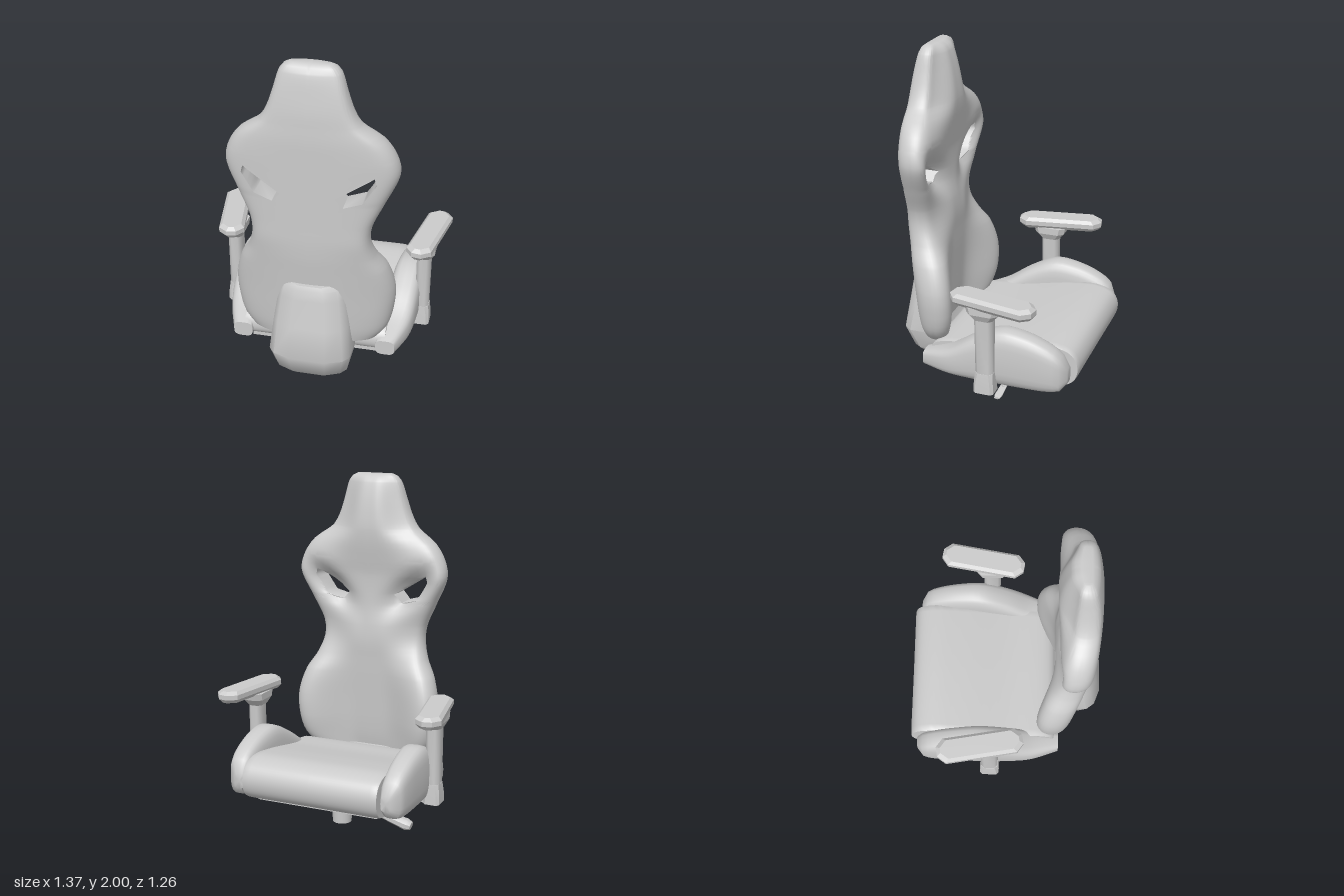
import * as THREE from 'three';
import { toCreasedNormals } from 'three/addons/utils/BufferGeometryUtils.js';

const material = new THREE.MeshStandardMaterial({ color: 0xcccccc });
const lerp = THREE.MathUtils.lerp;

function soup(positions, crease) {
  const g = new THREE.BufferGeometry();
  g.setAttribute('position', new THREE.Float32BufferAttribute(positions, 3));
  return toCreasedNormals(g, crease);
}

// Skin a list of closed rings and cap both ends; faces are turned outward by signed volume
function loft(rings, crease = 0.7) {
  const tris = [], n = rings[0].length;
  for (let j = 0; j < rings.length - 1; j++) for (let i = 0; i < n; i++) {
    const k = (i + 1) % n, a = rings[j], b = rings[j + 1];
    tris.push([a[i], a[k], b[k]], [a[i], b[k], b[i]]);
  }
  const cap = (ring, flip) => {
    const c = [0, 1, 2].map(d => ring.reduce((s, p) => s + p[d], 0) / n);
    ring.forEach((p, i) => {
      const q = ring[(i + 1) % n];
      tris.push(flip ? [c, q, p] : [c, p, q]);
    });
  };
  cap(rings[0], true);
  cap(rings[rings.length - 1], false);
  const v = tris.reduce((s, [a, b, c]) => s + a[0] * (b[1] * c[2] - b[2] * c[1])
    + a[1] * (b[2] * c[0] - b[0] * c[2]) + a[2] * (b[0] * c[1] - b[1] * c[0]), 0);
  return soup(tris.flatMap(t => (v < 0 ? [t[0], t[2], t[1]] : t).flat()), crease);
}

function add(parent, name, geometry, x = 0, y = 0, z = 0) {
  const m = new THREE.Mesh(geometry, material);
  m.name = name;
  m.position.set(x, y, z);
  parent.add(m);
  return m;
}

// Smooth interpolation through rows keyed by their first value
function sample(rows, y, smooth = true) {
  let i = 0;
  while (i < rows.length - 2 && y > rows[i + 1][0]) i++;
  const a = rows[i], b = rows[i + 1], p = rows[Math.max(i - 1, 0)], q = rows[Math.min(i + 2, rows.length - 1)];
  const d = b[0] - a[0], t = THREE.MathUtils.clamp((y - a[0]) / d, 0, 1);
  return a.map((v, c) => {
    if (!smooth) return lerp(v, b[c], t);
    const m0 = (b[c] - p[c]) / (b[0] - p[0]) * d, m1 = (q[c] - v) / (q[0] - a[0]) * d;
    const t2 = t * t, t3 = t2 * t;
    return (2 * t3 - 3 * t2 + 1) * v + (t3 - 2 * t2 + t) * m0 + (3 * t2 - 2 * t3) * b[c] + (t3 - t2) * m1;
  });
}

// Backrest rows: y, half width, back centre z, back edge z, front centre z, front edge z
const BACK = [
  [0.34, 0.36, 0.53, 0.45, 0.42, 0.33], [0.40, 0.41, 0.54, 0.45, 0.41, 0.30],
  [0.50, 0.44, 0.55, 0.455, 0.40, 0.275], [0.65, 0.45, 0.565, 0.465, 0.39, 0.275],
  [0.80, 0.412, 0.58, 0.50, 0.38, 0.31], [0.90, 0.355, 0.59, 0.535, 0.375, 0.365],
  [1.00, 0.325, 0.595, 0.56, 0.37, 0.41], [1.10, 0.332, 0.595, 0.56, 0.375, 0.42],
  [1.24, 0.395, 0.595, 0.55, 0.39, 0.395], [1.40, 0.465, 0.595, 0.54, 0.39, 0.355],
  [1.50, 0.45, 0.595, 0.545, 0.375, 0.365], [1.60, 0.385, 0.595, 0.55, 0.36, 0.395],
  [1.68, 0.275, 0.59, 0.56, 0.355, 0.425], [1.75, 0.23, 0.585, 0.56, 0.36, 0.43],
  [1.85, 0.195, 0.57, 0.55, 0.375, 0.435], [1.95, 0.165, 0.55, 0.53, 0.40, 0.44],
  [1.985, 0.14, 0.53, 0.52, 0.42, 0.445], [2.00, 0.11, 0.505, 0.505, 0.45, 0.46]];
// Opening: y, inner x, outer x
const HOLE = [[1.24, 0.19, 0.19], [1.27, 0.163, 0.29], [1.29, 0.145, 0.303], [1.38, 0.287, 0.36], [1.42, 0.35, 0.35]];

function backrestGeometry() {
  const out = [];
  const ys = [...BACK.map(r => r[0]), ...HOLE.map(r => r[0])];
  for (let y = 0.37; y < 1.97; y += 0.03) if (ys.every(v => Math.abs(v - y) > 0.01)) ys.push(y);
  const levels = [...new Set(ys)].sort((a, b) => a - b);
  const rows = levels.map(y => {
    const [, h, bc, be, fc, fe] = sample(BACK, y);
    let xi, xo;
    if (y >= 1.24 && y <= 1.42) [, xi, xo] = sample(HOLE, y, false);
    else xi = xo = h * (y < 1.24 ? 0.475 : 0.752);
    const point = x => {
      const t = Math.min(x / h, 1), w = THREE.MathUtils.smoothstep(t, 0.2, 0.9);
      // the front sinks in around the opening, following its slant
      const slant = 1.33 + (x - 0.26) * 0.6;
      const dip = 0.095 * Math.exp(-(((x - 0.26) / 0.13) ** 2) - ((y - slant) / 0.09) ** 2);
      const f = lerp(fc, fe, w) + dip, b = lerp(bc, be, t * t);
      const k = Math.sqrt(Math.max(0, 1 - t ** 13));
      const mid = (f + b) / 2, half = (b - f) / 2 * k;
      return { f: [x, y, mid - half], b: [x, y, mid + half] };
    };
    const inner = [], outer = [];
    for (let k = 0; k <= 8; k++) inner.push(point(xi * k / 8));
    for (let k = 0; k <= 12; k++) outer.push(point(lerp(xo, h, Math.sin(k / 12 * Math.PI / 2))));
    return { inner, outer, open: xo - xi > 1e-6 };
  });
  const tri = (a, b, c) => {
    const same = (p, q) => Math.hypot(p[0] - q[0], p[1] - q[1], p[2] - q[2]) < 1e-6;
    if (same(a, b) || same(b, c) || same(a, c)) return;
    out.push(...a, ...b, ...c);
    for (const p of [a, c, b]) out.push(-p[0], p[1], p[2]);
  };
  const quad = (a, b, c, d) => { tri(a, b, c); tri(a, c, d); };
  rows.forEach((lo, j) => {
    const up = rows[j + 1];
    for (const band of ['inner', 'outer']) for (let i = 0; i < lo[band].length - 1; i++) {
      const a = lo[band][i], b = lo[band][i + 1];
      if (up) {
        const c = up[band][i + 1], d = up[band][i];
        quad(a.b, b.b, c.b, d.b);
        quad(a.f, d.f, c.f, b.f);
      } else quad(a.f, a.b, b.b, b.f);
      if (j === 0) quad(a.f, b.f, b.b, a.b);
    }
    // walls of the opening
    if (up && (lo.open || up.open)) {
      const a = lo.inner[8], d = up.inner[8], b = lo.outer[0], c = up.outer[0];
      quad(a.b, a.f, d.f, d.b);
      quad(b.b, c.b, c.f, b.f);
    }
  });
  return soup(out, 0.85);
}

// Chamfered rectangle ring at height y
const padRing = (y, w, l, c) => [[w, l - c], [w - c, l], [c - w, l], [-w, l - c], [-w, c - l], [c - w, -l], [w - c, -l], [w, c - l]]
  .map(([x, z]) => [x, y, z]);

export function createModel() {
  const model = new THREE.Group();
  model.name = 'chair';
  model.rotation.y = 0.38;
  const chair = new THREE.Group();
  chair.name = 'chairBody';
  chair.position.set(0.063, 0, -0.015);
  model.add(chair);

  add(chair, 'backrest', backrestGeometry(), 0.008, 0, 0);

  // Rear cover over the hinge: y, half width, front z, back z
  const cover = [[0.12, 0.12, 0.28, 0.52], [0.14, 0.175, 0.30, 0.585], [0.18, 0.205, 0.35, 0.63], [0.30, 0.228, 0.42, 0.68],
    [0.48, 0.21, 0.44, 0.645], [0.65, 0.187, 0.46, 0.615], [0.71, 0.17, 0.48, 0.605], [0.735, 0.14, 0.49, 0.595]];
  add(chair, 'rearCover', loft(cover.map(([y, h, f, b]) => [[-h, f], [-h, b - 0.08], [-h * 0.85, b - 0.035],
    [-h * 0.45, b], [h * 0.45, b], [h * 0.85, b - 0.035], [h, b - 0.08], [h, f]].map(([x, z]) => [x, y, z])), 0.75), 0.02, 0, 0);

  // Seat cushion: side profile swept across the width with softened ends
  const side = new THREE.CatmullRomCurve3([[0.38, 0.23], [0.40, 0.30], [0.36, 0.355], [0.1, 0.395], [-0.2, 0.45],
    [-0.36, 0.46], [-0.45, 0.425], [-0.485, 0.35], [-0.465, 0.265], [-0.40, 0.22], [0, 0.215]]
    .map(([z, y]) => new THREE.Vector3(0, y, z)), true).getPoints(60).slice(0, -1);
  add(chair, 'seatCushion', loft([[-0.41, 0.95], [-0.4, 0.985], [-0.37, 1], [0, 0.99], [0.37, 1], [0.4, 0.985], [0.41, 0.95]]
    .map(([x, s]) => side.map(p => [x, 0.3 + (p.y - 0.3) * s, p.z * lerp(1, s, 0.15)]))));

  // Side bolster: z, bottom y, top y, inner x, outer x
  const bolster = [[-0.445, 0.28, 0.37, 0.42, 0.48], [-0.42, 0.24, 0.43, 0.41, 0.52], [-0.34, 0.22, 0.49, 0.40, 0.54],
    [-0.2, 0.215, 0.54, 0.39, 0.55], [-0.06, 0.215, 0.55, 0.38, 0.555], [0.1, 0.215, 0.475, 0.37, 0.55],
    [0.25, 0.215, 0.375, 0.36, 0.53], [0.42, 0.22, 0.31, 0.36, 0.47]];
  const levels = Array.from({ length: 25 }, (_, i) => sample(bolster, lerp(-0.445, 0.42, i / 24)));
  const pow = v => Math.sign(v) * Math.abs(v) ** 0.6;

  for (const s of [1, -1]) {
    const sideName = s > 0 ? 'left' : 'right';
    add(chair, sideName + 'SeatBolster', loft(levels.map(([z, yb, yt, xi, xo]) => Array.from({ length: 24 }, (_, i) => {
      const a = i / 24 * Math.PI * 2;
      return [s * lerp(xi, xo, 0.5 + pow(Math.cos(a)) / 2), lerp(yb, yt, 0.5 + pow(Math.sin(a)) / 2), z];
    }))));

    // Armrest
    const arm = new THREE.Group();
    arm.name = sideName + 'Armrest';
    arm.position.set(s * 0.565, 0, 0);
    chair.add(arm);
    const pad = add(arm, 'armPad', loft([padRing(0.722, 0.055, 0.235, 0.04), padRing(0.745, 0.073, 0.252, 0.045),
      padRing(0.772, 0.073, 0.252, 0.045), padRing(0.79, 0.055, 0.23, 0.04)], 0.4), s * 0.018, 0, -0.055);
    pad.rotation.y = -s * 0.175;
    add(arm, 'padMount', loft([padRing(0.65, 0.045, 0.055, 0.02), padRing(0.69, 0.065, 0.09, 0.03),
      padRing(0.73, 0.065, 0.1, 0.03)], 0.4));
    add(arm, 'armPost', loft([padRing(0.28, 0.038, 0.05, 0.02), padRing(0.67, 0.04, 0.052, 0.02)], 0.9));
    add(arm, 'armFoot', loft([padRing(0.2, 0.048, 0.058, 0.015), padRing(0.26, 0.046, 0.056, 0.015),
      padRing(0.32, 0.04, 0.052, 0.02)], 0.4));
    add(arm, 'armBracket', new THREE.BoxGeometry(0.42, 0.022, 0.07), -s * 0.2, 0.211, 0);

    // Control lever with a flat paddle, the larger one on the right
    const lever = new THREE.Group();
    lever.name = sideName + 'Lever';
    lever.position.set(s * 0.05, 0.135, -0.02);
    lever.rotation.z = -s * (s > 0 ? 0.14 : 0.25);
    chair.add(lever);
    const rod = add(lever, 'leverRod', new THREE.CylinderGeometry(0.013, 0.013, 0.3, 8), s * 0.15, 0, 0);
    rod.rotation.z = Math.PI / 2;
    const r = s > 0 ? [0.024, 0.009] : [0.042, 0.034];
    add(lever, 'leverPaddle', loft([[0.12, 0.4], [0.25, 0.75], [0.37, 1], [0.4, 0.7]].map(([x, k]) =>
      Array.from({ length: 8 }, (_, i) => {
        const a = (i + 0.5) / 8 * Math.PI * 2;
        return [s * x, Math.sin(a) * r[1] * k, Math.cos(a) * r[0] * k];
      }))));
  }

  // Underside: seat pan, tilt mechanism and gas lift socket
  add(chair, 'seatPan', new THREE.BoxGeometry(0.74, 0.03, 0.74), 0, 0.215, 0.0);
  add(chair, 'frontPlate', new THREE.BoxGeometry(0.36, 0.012, 0.24), 0, 0.197, -0.2);
  add(chair, 'tiltMechanism', loft([padRing(0.125, 0.06, 0.1, 0.03), padRing(0.15, 0.09, 0.17, 0.03),
    padRing(0.205, 0.13, 0.23, 0.03)], 0.4), 0, 0, 0.04);
  add(chair, 'liftSleeve', new THREE.CylinderGeometry(0.042, 0.042, 0.06, 20), 0, 0.12, -0.02);
  add(chair, 'liftSocket', new THREE.CylinderGeometry(0.06, 0.056, 0.095, 20), 0, 0.0475, -0.02);
  return model;
}
